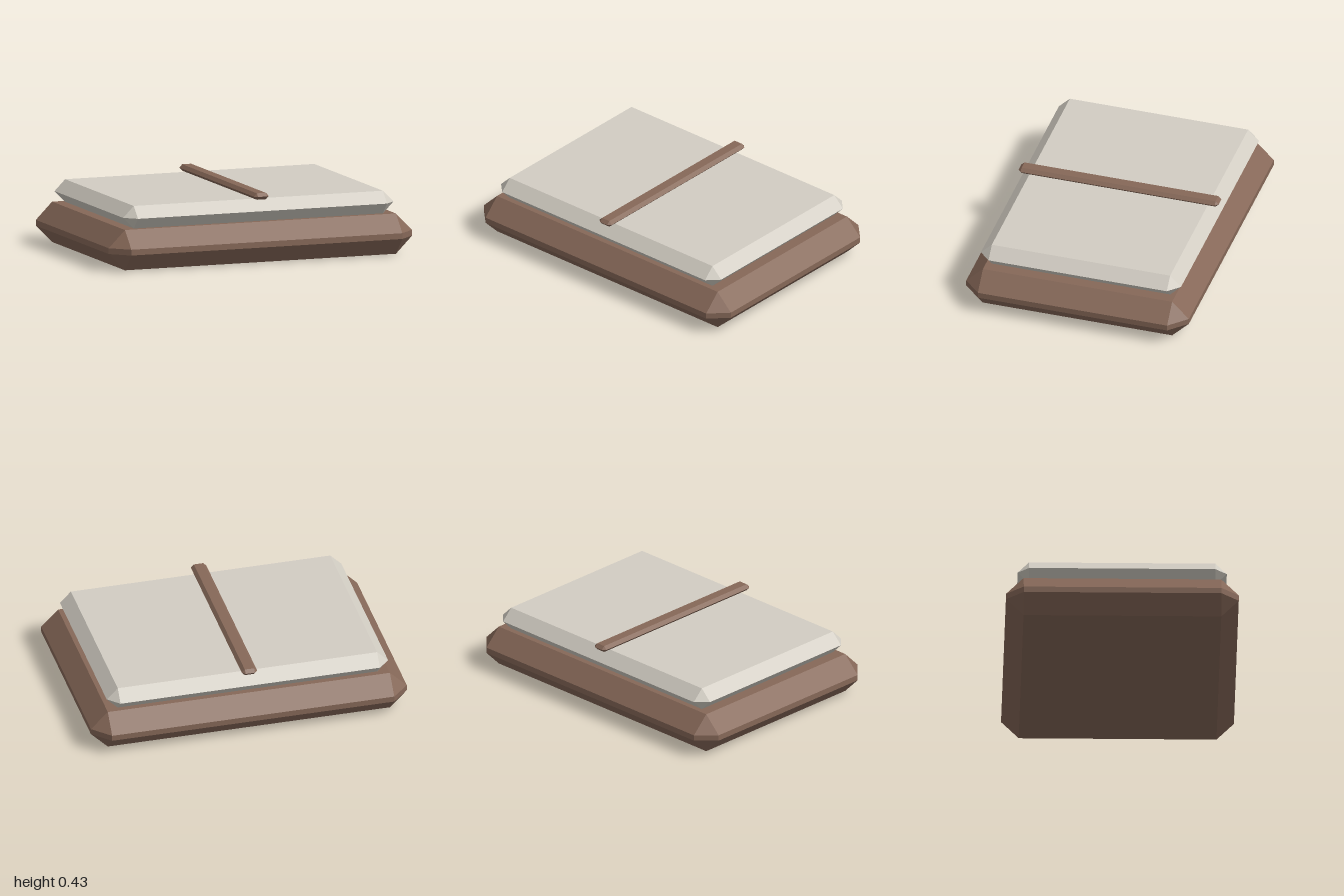
import * as THREE from 'three';
import { ConvexGeometry } from 'three/addons/geometries/ConvexGeometry.js';

// Box with every edge cut at 45 degrees and triangular corners
function chamferedBox(hx, hy, hz, cut) {
  const points = [];
  for (const sx of [-1, 1]) for (const sz of [-1, 1]) {
    const x = sx * (hx - cut), z = sz * (hz - cut), my = hy - cut;
    // A full-height cut leaves a single sharp ridge round the sides
    for (const y of my > 0.001 ? [-my, my] : [0]) {
      points.push(new THREE.Vector3(sx * hx, y, z), new THREE.Vector3(x, y, sz * hz));
    }
    points.push(new THREE.Vector3(x, hy, z), new THREE.Vector3(x, -hy, z));
  }
  return new ConvexGeometry(points);
}

export function createModel() {
  const model = new THREE.Group();
  model.name = 'slab';

  const brown = new THREE.MeshStandardMaterial({ color: 0x866858 });
  brown.name = 'brown';
  const cream = new THREE.MeshStandardMaterial({ color: 0xd2cdc3 });
  cream.name = 'cream';

  const add = (name, material, bottom, hx, hy, hz, cut) => {
    const mesh = new THREE.Mesh(chamferedBox(hx, hy, hz, cut), material);
    mesh.name = name;
    mesh.position.y = bottom + hy;
    model.add(mesh);
  };

  // Stacked layers: base, pages block, and the strip across the middle
  add('base', brown, 0, 1, 0.125, 0.713, 0.107);
  add('upperSlab', cream, 0.25, 0.891, 0.07, 0.641, 0.07);
  add('centreStrip', brown, 0.39, 0.049, 0.02, 0.641, 0.0196);

  return model;
}
